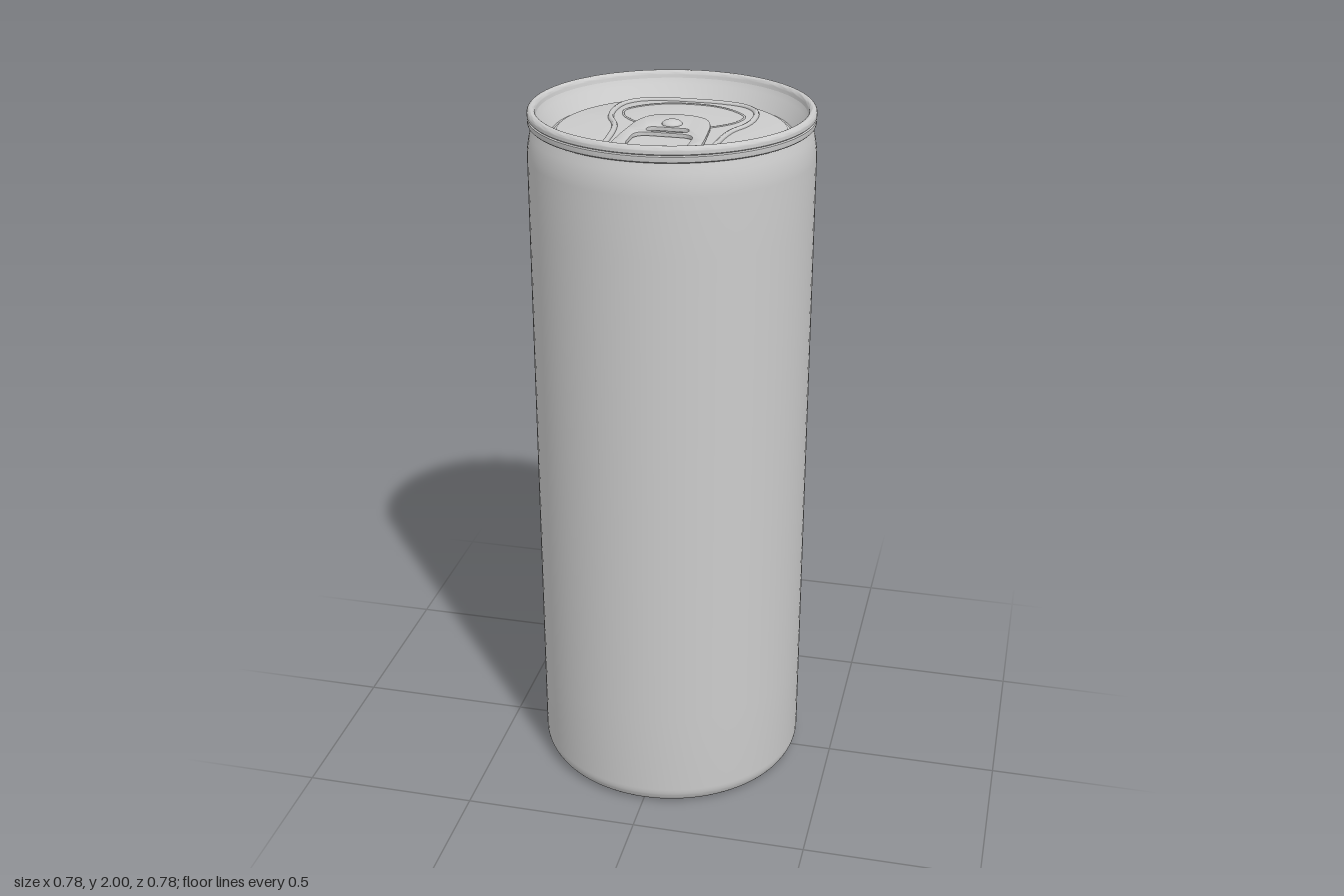
import * as THREE from 'three';
import { toCreasedNormals } from 'three/addons/utils/BufferGeometryUtils.js';

const LID_Y = 1.935;
const grey = new THREE.MeshStandardMaterial({ color: 0xcccccc });

function add(group, name, geometry, x = 0, y = 0, z = 0) {
  const mesh = new THREE.Mesh(geometry, grey);
  mesh.name = name;
  mesh.position.set(x, y, z);
  group.add(mesh);
  return mesh;
}

// Turned part from [radius, height] pairs
function turned(points) {
  const profile = points.map(([r, y]) => new THREE.Vector2(r, y));
  return toCreasedNormals(new THREE.LatheGeometry(profile, 96), 0.6);
}

// Points on a circular arc, angles in degrees
function arc(cx, cy, rx, ry, from, to, steps) {
  return Array.from({ length: steps + 1 }, (_, i) => {
    const a = THREE.MathUtils.degToRad(from + ((to - from) * i) / steps);
    return [cx + rx * Math.cos(a), cy + ry * Math.sin(a)];
  });
}

// Closed smooth curve on the lid, mirrored from its +x half of [x, z] pairs
function mirroredLoop(half) {
  const other = half.filter(([x]) => x > 0).reverse().map(([x, z]) => [-x, z]);
  const points = [...half, ...other].map(([x, z]) => new THREE.Vector3(x, 0, z));
  return new THREE.CatmullRomCurve3(points, true, 'centripetal');
}

function bead(half, radius) {
  return new THREE.TubeGeometry(mirroredLoop(half), 160, radius, 8, true);
}

// Rounded rectangle outline in the lid plane (shape y = -z)
function roundedRect(w, z0, z1, r) {
  const p = new THREE.Path();
  p.moveTo(-w + r, -z1);
  p.lineTo(w - r, -z1);
  p.quadraticCurveTo(w, -z1, w, -z1 + r);
  p.lineTo(w, -z0 - r);
  p.quadraticCurveTo(w, -z0, w - r, -z0);
  p.lineTo(-w + r, -z0);
  p.quadraticCurveTo(-w, -z0, -w, -z0 - r);
  p.lineTo(-w, -z1 + r);
  p.quadraticCurveTo(-w, -z1, -w + r, -z1);
  return p;
}

export function createModel() {
  const can = new THREE.Group();
  can.name = 'can';

  // Hollow domed base
  const dome = Array.from({ length: 17 }, (_, i) => {
    const t = i / 16;
    return [0.345 * t, 0.005 + 0.08 * (1 - t * t)];
  });
  add(can, 'base', turned([...dome, [0.35, 0.001], [0.355, 0]]));

  // Body with rounded foot and tapered shoulder
  add(can, 'body', turned([
    ...arc(0.355, 0.05, 0.035, 0.05, -90, 0, 10),
    [0.39, 0.3], [0.39, 1], [0.39, 1.7], [0.39, 1.87],
    [0.389, 1.89], [0.386, 1.91], [0.382, 1.93], [0.377, 1.945], [0.374, 1.957],
  ]));

  // Rolled rim with a fine groove round its side
  add(can, 'rim', turned([
    [0.374, 1.957], [0.383, 1.957], [0.386, 1.96], [0.387, 1.966],
    [0.387, 1.974], [0.384, 1.977], [0.387, 1.98],
    ...arc(0.376, 1.988, 0.011, 0.012, 0, 180, 12),
    [0.363, 1.98],
  ]));

  // Sloping inner wall, groove and flat panel
  add(can, 'lid', turned([
    [0.363, 1.98], [0.355, 1.965], [0.329, LID_Y - 0.004],
    [0.326, LID_Y - 0.009], [0.322, LID_Y - 0.01], [0.318, LID_Y - 0.008],
    [0.311, LID_Y - 0.001], [0.306, LID_Y], [0.15, LID_Y], [0, LID_Y],
  ]));

  // Raised bead round the tab area
  add(can, 'panelBead', bead([
    [0, -0.282], [0.08, -0.279], [0.15, -0.258], [0.187, -0.215], [0.198, -0.14],
    [0.188, -0.07], [0.162, -0.01], [0.149, 0.06], [0.143, 0.14], [0.138, 0.21],
    [0.122, 0.25], [0.08, 0.264], [0, 0.267],
  ], 0.008), 0, LID_Y, 0);

  // Score line of the mouth
  add(can, 'mouthScore', bead([
    [0, -0.251], [0.07, -0.241], [0.13, -0.206], [0.168, -0.155], [0.158, -0.1],
    [0.12, -0.052], [0.07, -0.02], [0, -0.01],
  ], 0.003), 0, LID_Y, 0);

  // Pull tab with slot and finger hole
  const outline = mirroredLoop([
    [0, -0.1], [0.04, -0.095], [0.078, -0.073], [0.1, -0.025], [0.111, 0.06],
    [0.117, 0.15], [0.117, 0.205], [0.105, 0.235], [0.07, 0.243], [0, 0.245],
  ]).getPoints(80).slice(0, 80).map((p) => new THREE.Vector2(p.x, -p.z));
  const tabShape = new THREE.Shape(outline);
  tabShape.holes.push(roundedRect(0.057, 0.032, 0.071, 0.019));
  tabShape.holes.push(roundedRect(0.081, 0.084, 0.213, 0.04));
  const tab = new THREE.ExtrudeGeometry(tabShape, {
    depth: 0.006, curveSegments: 10,
    bevelEnabled: true, bevelThickness: 0.003, bevelSize: 0.003, bevelOffset: -0.003, bevelSegments: 2,
  });
  tab.rotateX(-Math.PI / 2);
  add(can, 'pullTab', toCreasedNormals(tab, 0.7), 0, LID_Y + 0.004, 0);

  // Domed rivet
  const rivet = new THREE.SphereGeometry(0.028, 32, 10, 0, Math.PI * 2, 0, Math.PI / 2);
  rivet.scale(1, 0.45, 1);
  add(can, 'rivet', rivet, 0, LID_Y + 0.013, -0.002);

  return can;
}
